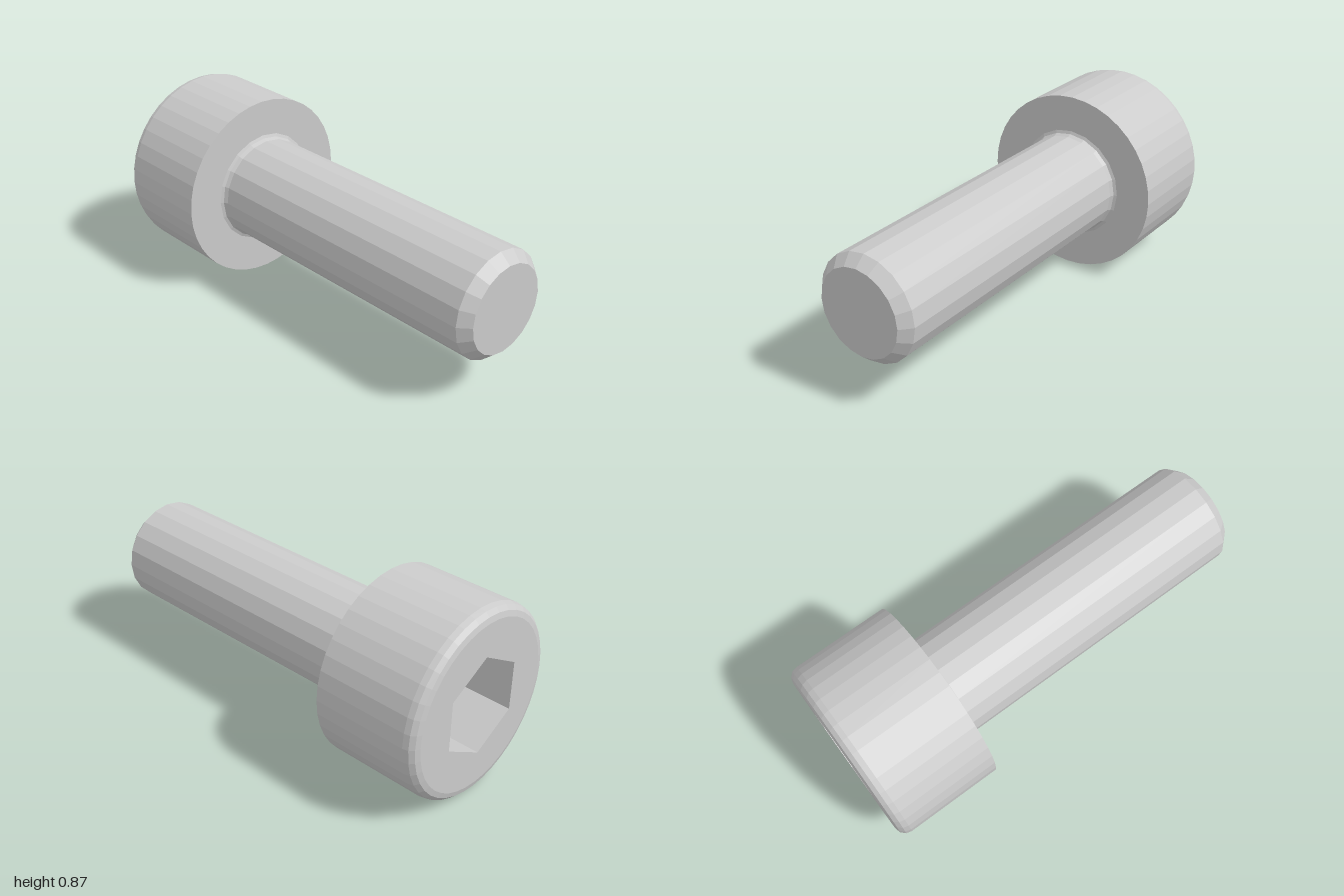
import * as THREE from 'three';

const HEAD_R = 0.437, SHANK_R = 0.245, FILLET = 0.05;
const HEAD_SIDES = 40, SHANK_SIDES = 20;
const HEX_R = 0.233, HEX_DEPTH = 0.26;

// Points on a regular polygon, starting at the top
function ring(radius, sides) {
  return Array.from({ length: sides }, (_, i) => {
    const a = Math.PI / 2 + (i / sides) * Math.PI * 2;
    return new THREE.Vector2(radius * Math.cos(a), radius * Math.sin(a));
  });
}

// Turned part along the x axis; profile is a list of [radius, x]
function turned(profile, sides) {
  return new THREE.LatheGeometry(profile.map(([r, x]) => new THREE.Vector2(r, x)), sides)
    .rotateZ(-Math.PI / 2);
}

export function createModel() {
  const group = new THREE.Group();
  const material = new THREE.MeshStandardMaterial({ color: 0xcccccc, flatShading: true });
  const inside = material.clone();
  inside.side = THREE.BackSide;

  const add = (name, geometry, mat = material) => {
    const mesh = new THREE.Mesh(geometry, mat);
    mesh.name = name;
    mesh.position.y = HEAD_R;
    group.add(mesh);
  };

  // Head: rounded outer rim, straight side, flat underside
  const rim = [];
  for (let i = 0; i <= 3; i++) {
    const a = (i / 3) * Math.PI / 2;
    rim.push([HEAD_R - FILLET + FILLET * Math.sin(a), -1 + FILLET - FILLET * Math.cos(a)]);
  }
  add('head', turned([...rim, [HEAD_R, -0.5], [SHANK_R, -0.5]], HEAD_SIDES));

  // Head end face with the hexagonal opening
  const face = new THREE.Shape(ring(HEAD_R - FILLET, HEAD_SIDES));
  face.holes.push(new THREE.Path(ring(HEX_R, 6)));
  add('headFace', new THREE.ShapeGeometry(face).rotateY(-Math.PI / 2).translate(-1, 0, 0));

  // Hexagonal socket: inward-facing walls and floor
  add('socketWalls',
    new THREE.CylinderGeometry(HEX_R, HEX_R, HEX_DEPTH, 6, 1, true, Math.PI / 6)
      .rotateZ(-Math.PI / 2).translate(-1 + HEX_DEPTH / 2, 0, 0), inside);
  add('socketFloor',
    new THREE.CircleGeometry(HEX_R, 6, Math.PI / 2)
      .rotateY(-Math.PI / 2).translate(-1 + HEX_DEPTH, 0, 0));

  // Shank: small fillet under the head, chamfered tip, flat end
  add('shank', turned([
    [0.267, -0.5], [0.253, -0.494], [SHANK_R, -0.475],
    [SHANK_R, 0.95], [0.2, 1], [0, 1],
  ], SHANK_SIDES));

  return group;
}
